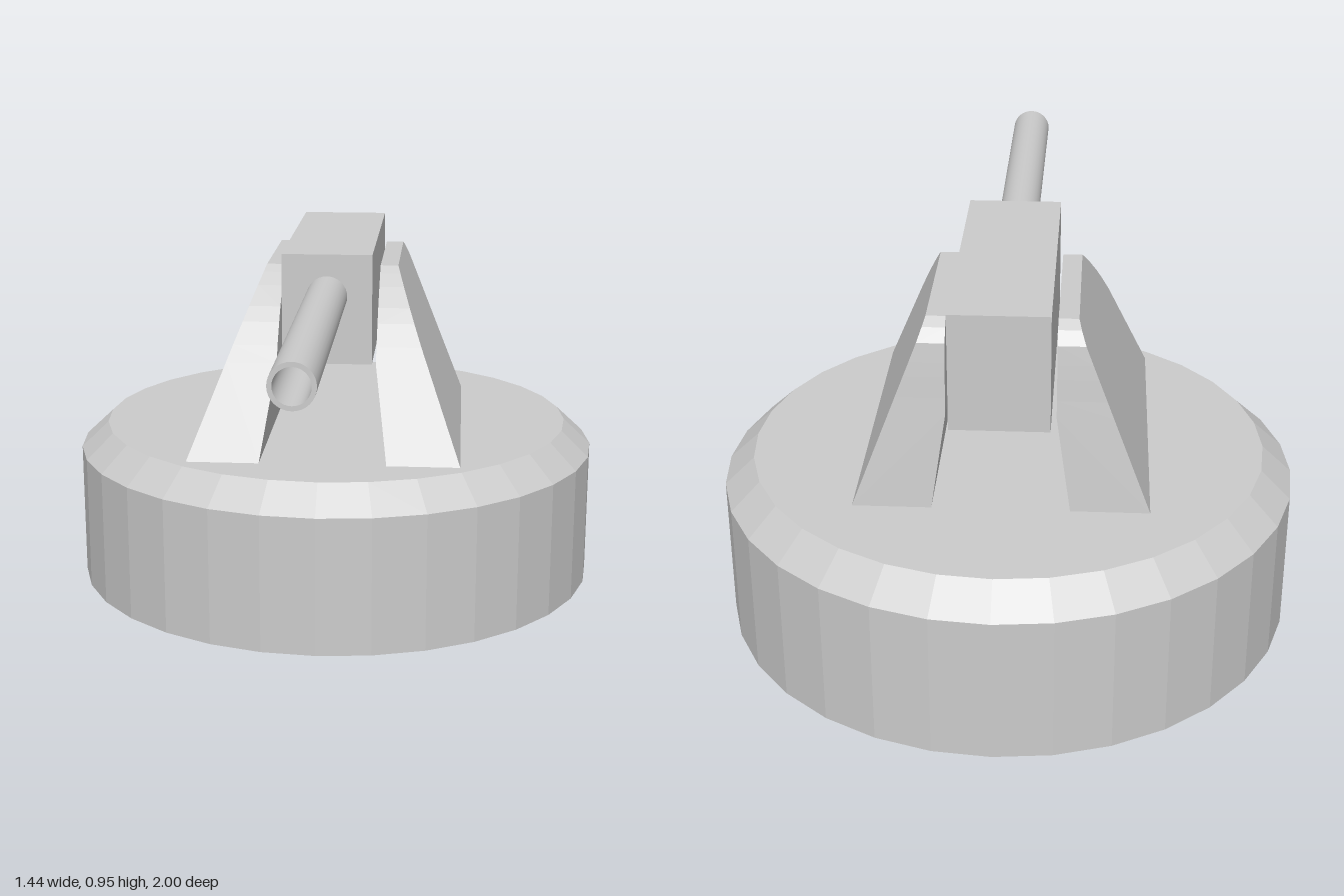
import * as THREE from 'three';

const grey = { color: 0xcccccc };
const flat = new THREE.MeshStandardMaterial({ ...grey, flatShading: true });
const smooth = new THREE.MeshStandardMaterial(grey);

function part(name, geometry, material = flat) {
  const mesh = new THREE.Mesh(geometry, material);
  mesh.name = name;
  return mesh;
}

// Leaning support plate, lofted upwards through rectangular cross-sections
function cheekGeometry(side) {
  // height, front z, back z
  const rows = [
    [0.435, 0.215, -0.625], [0.67, 0.083, -0.6], [0.712, 0.06, -0.595], [0.765, 0.015, -0.59],
    [0.8, -0.02, -0.586], [0.846, -0.075, -0.58], [0.875, -0.115, -0.555], [0.892, -0.142, -0.528],
  ];
  const [bottom, top] = [rows[0][0], rows[rows.length - 1][0]];
  const rings = rows.map(([y, front, back]) => {
    const outer = THREE.MathUtils.mapLinear(y, bottom, top, 0.355, 0.178);
    const inner = 0.13 + 0.035 * Math.max(0, (0.67 - y) / (0.67 - bottom));
    return [[inner, y, front], [outer, y, front], [outer, y, back], [inner, y, back]];
  });

  const positions = [];
  const quad = (a, b, c, d) => {
    const corners = side > 0 ? [a, b, c, a, c, d] : [a, c, b, a, d, c];
    for (const [x, y, z] of corners) positions.push(side * x, y, z);
  };
  for (let i = 0; i < rings.length - 1; i++) {
    for (let k = 0; k < 4; k++) {
      const n = (k + 1) % 4;
      quad(rings[i][k], rings[i][n], rings[i + 1][n], rings[i + 1][k]);
    }
  }
  quad(...rings[rings.length - 1]);
  quad(...[...rings[0]].reverse());

  const geometry = new THREE.BufferGeometry();
  geometry.setAttribute('position', new THREE.Float32BufferAttribute(positions, 3));
  geometry.computeVertexNormals();
  return geometry;
}

export function createModel() {
  const model = new THREE.Group();
  model.name = 'gunTurret';

  // Round base with a chamfered upper rim
  const profile = [[0, 0], [0.72, 0], [0.72, 0.365], [0.645, 0.435], [0, 0.435]];
  const base = part('base', new THREE.LatheGeometry(profile.map(([r, y]) => new THREE.Vector2(r, y)), 32));
  base.position.z = -0.28;
  model.add(base);

  // Mirrored support plates
  model.add(part('leftSupport', cheekGeometry(1)), part('rightSupport', cheekGeometry(-1)));

  // Gun housing
  const housing = part('housing', new THREE.BoxGeometry(0.236, 0.29, 0.72));
  housing.position.set(0, 0.81, -0.3);
  model.add(housing);

  // Hollow barrel pointing forwards
  const barrel = new THREE.Group();
  barrel.name = 'barrel';
  const length = 0.94;
  const [outer, bore] = [0.053, 0.042];
  const tube = part('barrelTube', new THREE.CylinderGeometry(outer, outer, length, 32, 1, true), smooth);
  tube.rotation.x = Math.PI / 2;
  tube.position.z = length / 2;
  const inside = part('barrelBore', new THREE.CylinderGeometry(bore, bore, length, 32, 1, true).scale(-1, 1, 1),
    new THREE.MeshStandardMaterial({ ...grey, side: THREE.DoubleSide }));
  inside.rotation.x = Math.PI / 2;
  inside.position.z = length / 2;
  const muzzle = part('muzzleRim', new THREE.RingGeometry(bore, outer, 32));
  muzzle.position.z = length;
  barrel.add(tube, inside, muzzle);
  barrel.position.set(0, 0.845, 0.06);
  model.add(barrel);

  return model;
}
